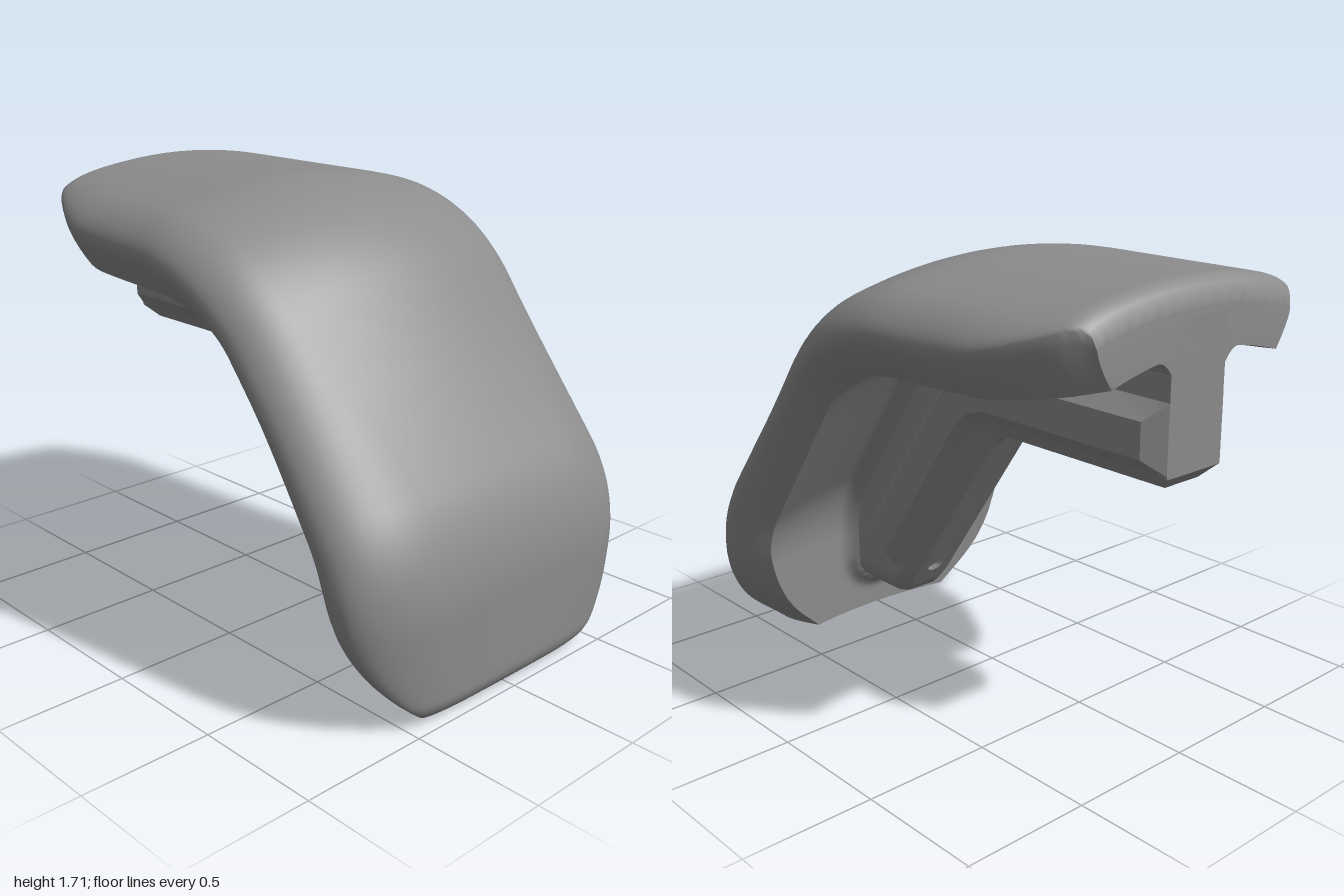
import * as THREE from 'three';
import { toCreasedNormals } from 'three/addons/utils/BufferGeometryUtils.js';

const BEND = THREE.MathUtils.degToRad(55.3); // pitch of the sloping middle
const { lerp, clamp, smoothstep } = THREE.MathUtils;

// Stations along the centre line, back to front: point (z, y), inward normal, length s.
function centreLine(parts, z = -1, y = 1.71) {
  let angle = 0, s = 0;
  const out = [];
  const push = () => out.push({ z, y, s, nz: -Math.sin(angle), ny: -Math.cos(angle) });
  push();
  for (const { length, turn = 0, steps } of parts) {
    for (let i = 0; i < steps; i++) {
      const ds = length / steps, da = turn / steps;
      const chord = da ? ds * Math.sin(da / 2) / (da / 2) : ds;
      z += chord * Math.cos(angle + da / 2);
      y -= chord * Math.sin(angle + da / 2);
      angle += da;
      s += ds;
      push();
    }
  }
  return out;
}

// Skin closed rings of [x, depth] points, each placed on its station, and cap both ends.
function sweep(rows, crease = 0.6) {
  const n = rows[0].ring.length, pos = [], index = [];
  for (const { f, ring } of rows) {
    for (const [x, d] of ring) pos.push(x, f.y + f.ny * d, f.z + f.nz * d);
  }
  for (let i = 0; i < rows.length - 1; i++) {
    for (let j = 0; j < n; j++) {
      const a = i * n + j, c = i * n + (j + 1) % n;
      index.push(a, a + n, c, c, a + n, c + n);
    }
  }
  for (const [row, sign] of [[0, 1], [rows.length - 1, -1]]) {
    const pts = rows[row].ring.map(([x, d]) => new THREE.Vector2(x, d));
    for (const [a, b, c] of THREE.ShapeUtils.triangulateShape(pts, [])) {
      const area = THREE.ShapeUtils.area([pts[a], pts[b], pts[c]]) * sign;
      const o = row * n;
      if (area > 0) index.push(o + a, o + b, o + c);
      else index.push(o + a, o + c, o + b);
    }
  }
  const geo = new THREE.BufferGeometry();
  geo.setAttribute('position', new THREE.Float32BufferAttribute(pos, 3));
  geo.setIndex(index);
  return toCreasedNormals(geo, crease);
}

const mirrorRing = half => [...half, ...half.map(([x, d]) => [-x, d]).reverse()];

// Half width of the pad along its length, joined by a smooth cubic
const WIDTH = [[0, 0.48], [0.1, 0.57], [0.2, 0.63], [0.3, 0.675], [0.4, 0.7], [0.8, 0.723],
  [1.2, 0.727], [1.6, 0.711], [1.9, 0.706], [2.4, 0.72], [2.6, 0.716], [2.75, 0.693],
  [2.88, 0.63], [2.98, 0.545], [3.1, 0.4]];

function widthAt(s) {
  const last = WIDTH.length - 1;
  let i = 0;
  while (i < last - 1 && s > WIDTH[i + 1][0]) i++;
  const slope = k => {
    const a = WIDTH[Math.max(k - 1, 0)], b = WIDTH[Math.min(k + 1, last)];
    return (b[1] - a[1]) / (b[0] - a[0]);
  };
  const [s0, v0] = WIDTH[i], [s1, v1] = WIDTH[i + 1];
  const h = s1 - s0, t = (s - s0) / h, u = 1 - t;
  return u * u * (1 + 2 * t) * v0 + t * t * (3 - 2 * t) * v1 + h * t * u * (u * slope(i) - t * slope(i + 1));
}

// Curved pad: crowned top, rounded undercut rim, hollow underside with a fillet around the stem
function padGeometry() {
  const line = centreLine([
    { length: 0.1, steps: 8 }, { length: 0.7, steps: 14 },
    { length: 0.82 * BEND, turn: BEND, steps: 16 },
    { length: 0.687, steps: 8 },
    { length: 0.75 * (Math.PI / 2 - BEND), turn: Math.PI / 2 - BEND, steps: 12 },
    { length: 0.266, steps: 20 }, { length: 0.1, steps: 8 },
  ]);
  const end = line[line.length - 1].s;
  const roundOff = (t, r) => (t < r ? r - Math.sqrt(Math.max(0, r * r - (r - t) ** 2)) : 0);
  return sweep(line.map(f => {
    const W = widthAt(f.s), inner = W * 0.86;
    const drop = roundOff(f.s, 0.09) + roundOff(end - f.s, 0.09);
    // the crown flattens and the rim gets softer towards the front
    const front = smoothstep(f.s, 1.4, 2.6), slope = smoothstep(f.s, 0.9, 1.8);
    const crown = lerp(0.24, 0.03, front);
    const radius = Math.min(lerp(0.17, 0.33, front), W * 0.46);
    const roll = lerp(0.1, 0.16, front) * (W / 0.72) ** 4;
    const under = x => lerp(0.235, 0.225, slope) + lerp(0.14, 0.11, slope) * (x / 0.62) ** 2;
    const edge = W - radius;
    const half = [];
    for (let i = 0; i < 9; i++) {
      const x = edge * i / 9;
      half.push([x, crown * x * x + drop]);
    }
    for (let i = 0; i <= 9; i++) {
      const a = i / 9 * Math.PI / 2, x = edge + radius * Math.sin(a);
      half.push([x, crown * x * x + drop + roll * (1 - Math.cos(a))]);
    }
    const side = half[half.length - 1][1], lip = Math.max(under(inner), side + 0.02);
    for (let i = 1; i <= 5; i++) {
      half.push([lerp(W, inner, (i / 5) ** 1.4), lerp(side, lip, i / 5)]);
    }
    for (let i = 1; i <= 7; i++) {
      const x = lerp(inner, 0.23, i / 7);
      half.push([x, under(x)]);
    }
    for (const x of [0.205, 0.19, 0.175, 0.16, 0.148, 0.135, 0.11, 0.08, 0.05, 0.02]) {
      const gap = Math.hypot(x, Math.max(0, f.s - 2.823)) - 0.135;
      half.push([x, under(x) + 0.055 * clamp(1 - gap / 0.07, 0, 1) ** 2]);
    }
    const ring = mirrorRing(half);
    ring.pop(); // the top centre point is shared
    return { f, ring };
  }), 0.9);
}

// Stem: deep rib with chamfered lower edges, a round-ended slot below and a rounded front tip
function stemGeometry() {
  const rows = [], SLOT = 0.035;
  const add = (T, B, w, chamfer, slot = 0, g = 0.015) => {
    const L = Math.hypot(B[0] - T[0], B[1] - T[1]);
    const f = { z: T[0], y: T[1], nz: (B[0] - T[0]) / L, ny: (B[1] - T[1]) / L };
    const c = Math.min(0.05, w * 0.4), h = Math.min(g, w * 0.3);
    rows.push({ f, ring: mirrorRing([[w, 0], [w, L - chamfer], [w - c, L], [h, L], [h, L - slot]]) });
  };
  const at = (f, d) => [f.z + f.nz * d, f.y + f.ny * d];
  const line = centreLine([{ length: 0.05, steps: 1 }, { length: 0.029, steps: 1 },
    { length: 0.001, steps: 1 }, { length: 0.012, steps: 1 }, { length: 0.028, steps: 1 },
    { length: 0.68, steps: 3 }, { length: 0.82 * BEND, turn: BEND, steps: 14 }]);
  line.forEach((f, i) => add(at(f, 0.12), at(f, i ? 0.7 : 0.65), 0.135, i ? 0.06 : 0.001,
    i > 2 ? SLOT : 0, [0.015, 0.015, 0.015, 0.015, 0.032][i] ?? 0.042));
  const last = line[line.length - 1], T0 = at(last, 0.12), B0 = at(last, 0.7);
  const mix = (a, b, t) => [a[0] + (b[0] - a[0]) * t, a[1] + (b[1] - a[1]) * t];
  for (const [t, slot, g] of [[0.25, SLOT, 0.042], [0.5, SLOT, 0.042], [0.75, SLOT, 0.042],
    [0.95, SLOT, 0.042], [0.98, SLOT, 0.032], [0.996, SLOT, 0.015], [0.998, 0, 0.015], [1, 0, 0.015]]) {
    add(mix(T0, [0.95, 0.275], t), mix(B0, [0.375, 0.275], t), 0.135, 0.06, slot, g);
  }
  for (let i = 1; i <= 8; i++) {
    const a = i / 8 * Math.PI / 2, y = 0.275 - 0.135 * Math.sin(a);
    const z = y > 0.184 ? 0.375 + (0.275 - y) * 0.7 : 0.439 + (0.184 - y) * 1.85;
    const w = Math.max(0.012, 0.135 * Math.cos(a));
    add([0.95, y], [z, y], w, Math.min(0.06, w * 0.45));
  }
  return sweep(rows);
}

// Side rail: trapezoid ridge along the stem, bevelled at both ends
function railGeometry(side) {
  const line = centreLine([{ length: 0.06, steps: 1 }, { length: 0.74, steps: 3 },
    { length: 0.82 * BEND, turn: BEND, steps: 14 },
    { length: 0.775, steps: 3 }, { length: 0.065, steps: 1 }]);
  return sweep(line.map((f, i) => {
    const tip = i === 0 || i === line.length - 1;
    const x = tip ? 0.136 : 0.205, d0 = tip ? 0.392 : 0.45, d1 = tip ? 0.638 : 0.58;
    const ring = [[0.1, 0.39], [0.135, 0.39], [x, d0], [x, d1], [0.135, 0.64], [0.1, 0.64]];
    return { f, ring: side > 0 ? ring : ring.map(([px, d]) => [-px, d]).reverse() };
  }), 0.4);
}

export function createModel() {
  const model = new THREE.Group();
  model.name = 'curvedPad';
  const material = new THREE.MeshStandardMaterial({ color: 0x8c8c8c });
  const add = (name, geometry) => {
    const mesh = new THREE.Mesh(geometry, material);
    mesh.name = name;
    model.add(mesh);
  };
  add('pad', padGeometry());
  add('stem', stemGeometry());
  add('leftRail', railGeometry(1));
  add('rightRail', railGeometry(-1));
  return model;
}
